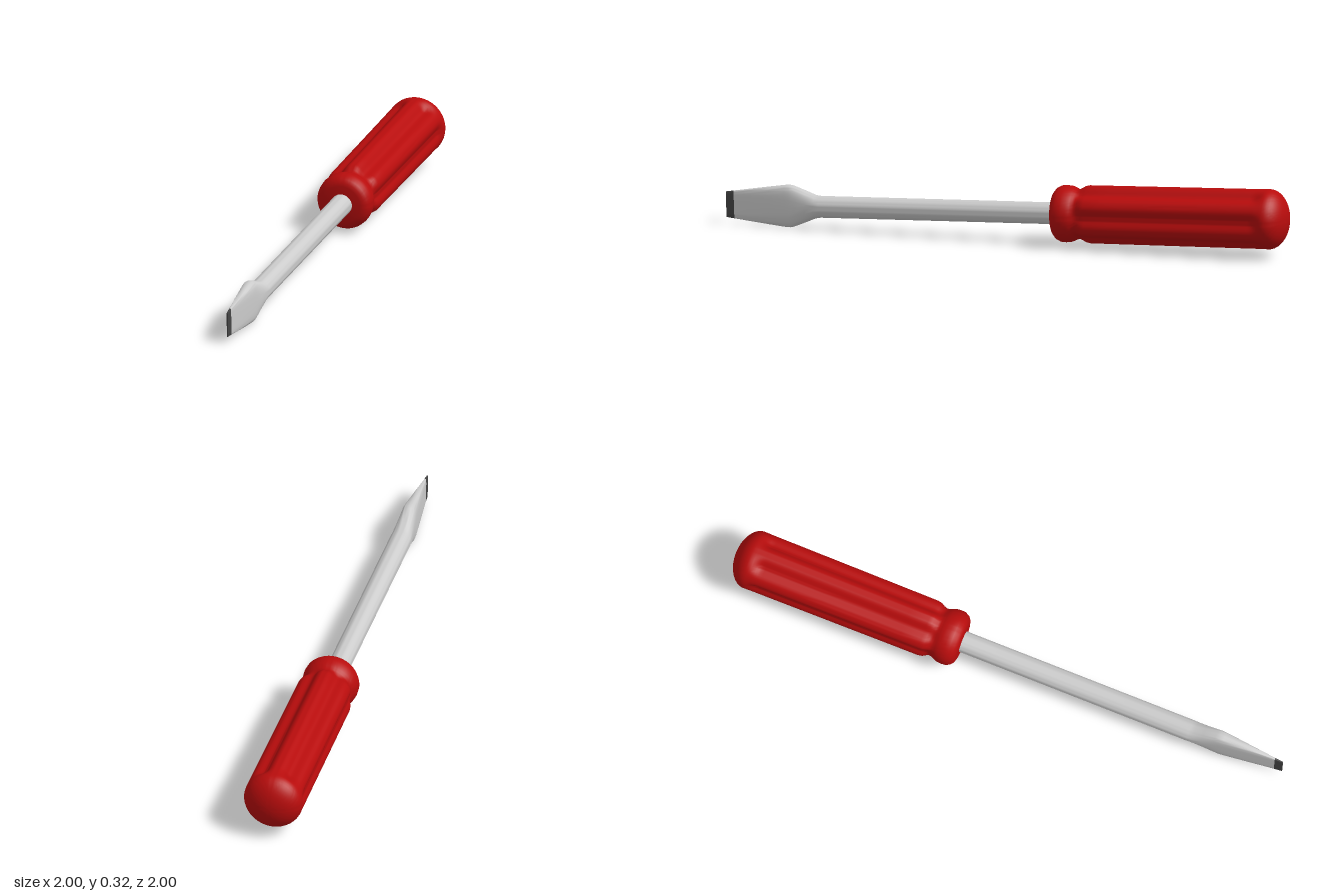
import * as THREE from 'three';
import { toCreasedNormals } from 'three/addons/utils/BufferGeometryUtils.js';

// Skin a stack of rings along local x. point(i, angle) returns [x, y, z].
function loft(rings, sides, point) {
  const pos = [], idx = [];
  for (let i = 0; i < rings; i++) {
    for (let j = 0; j < sides; j++) pos.push(...point(i, (j / sides) * Math.PI * 2));
  }
  for (let i = 0; i < rings - 1; i++) {
    for (let j = 0; j < sides; j++) {
      const k = (j + 1) % sides;
      const a = i * sides + j, b = i * sides + k;
      const c = b + sides, d = a + sides;
      idx.push(a, c, b, a, d, c);
    }
  }
  const g = new THREE.BufferGeometry();
  g.setAttribute('position', new THREE.Float32BufferAttribute(pos, 3));
  g.setIndex(idx);
  return toCreasedNormals(g, 0.75);
}

// Steel sections: [x, half height, half thickness, squareness]
function steelGeometry(sections, sides) {
  const power = (v, n) => Math.sign(v) * Math.pow(Math.abs(v), 2 / n);
  return loft(sections.length, sides, (i, t) => {
    const [x, h, w, n] = sections[i];
    return [x, h * power(Math.sin(t), n), w * power(Math.cos(t), n)];
  });
}

function handleGeometry() {
  // Flat front face, rounded collar, neck and shoulder: [x, radius]
  const profile = [
    [0.195, 0.001], [0.195, 0.09], [0.2, 0.107], [0.212, 0.122], [0.232, 0.132],
    [0.255, 0.134], [0.28, 0.131], [0.298, 0.124], [0.31, 0.118], [0.322, 0.118],
    [0.335, 0.124], [0.35, 0.133], [0.37, 0.137],
  ];
  // Long grip, with closer rings where the flutes run out
  for (let i = 1; i <= 8; i++) profile.push([0.37 + i * 0.1, 0.137 + i * 0.0005]);
  for (let i = 1; i <= 6; i++) profile.push([1.17 + i * 0.0125, 0.141]);
  // Domed butt
  for (let i = 1; i <= 12; i++) {
    const a = (i / 12) * Math.PI / 2;
    profile.push([1.245 + 0.092 * Math.sin(a), Math.max(0.141 * Math.cos(a), 0.0005)]);
  }
  const { smoothstep } = THREE.MathUtils;
  return loft(profile.length, 96, (i, t) => {
    const [x, radius] = profile[i];
    // Six concave flutes
    const fade = smoothstep(x, 0.3, 0.36) * (1 - smoothstep(x, 1.18, 1.25));
    const flute = Math.pow(0.5 + 0.5 * Math.cos(6 * t), 1.5);
    const r = radius - 0.024 * fade * flute;
    return [x, r * Math.sin(t), r * Math.cos(t)];
  });
}

export function createModel() {
  const steel = new THREE.MeshStandardMaterial({ color: 0xcccccc });
  const dark = new THREE.MeshStandardMaterial({ color: 0x444444 });
  const red = new THREE.MeshStandardMaterial({ color: 0xb80c0c });

  const tool = new THREE.Group();
  tool.name = 'screwdriver';
  const add = (name, geometry, material) => {
    const mesh = new THREE.Mesh(geometry, material);
    mesh.name = name;
    tool.add(mesh);
  };

  // Round shaft flaring into the flat blade
  add('shaftAndBlade', steelGeometry([
    [-1.375, 0.066, 0.006, 6],
    [-1.3, 0.076, 0.014, 5],
    [-1.2, 0.089, 0.025, 4.2],
    [-1.12, 0.099, 0.034, 3.6],
    [-1.1, 0.1, 0.036, 3.4],
    [-1.08, 0.096, 0.038, 3.1],
    [-1.02, 0.073, 0.044, 2.5],
    [-0.975, 0.055, 0.049, 2.1],
    [-0.95, 0.051, 0.051, 2],
    [0.22, 0.051, 0.051, 2],
  ], 40), steel);

  // Darkened driving edge
  add('bladeTip', steelGeometry([
    [-1.414, 0.001, 0.0002, 6],
    [-1.414, 0.061, 0.003, 6],
    [-1.375, 0.066, 0.006, 6],
  ], 40), dark);

  add('handle', handleGeometry(), red);

  // Laid diagonally, resting on blade and collar
  tool.rotation.order = 'YXZ';
  tool.rotation.set(0, Math.PI / 4, 0.035);
  tool.position.y = 0.14;

  const model = new THREE.Group();
  model.add(tool);
  return model;
}
